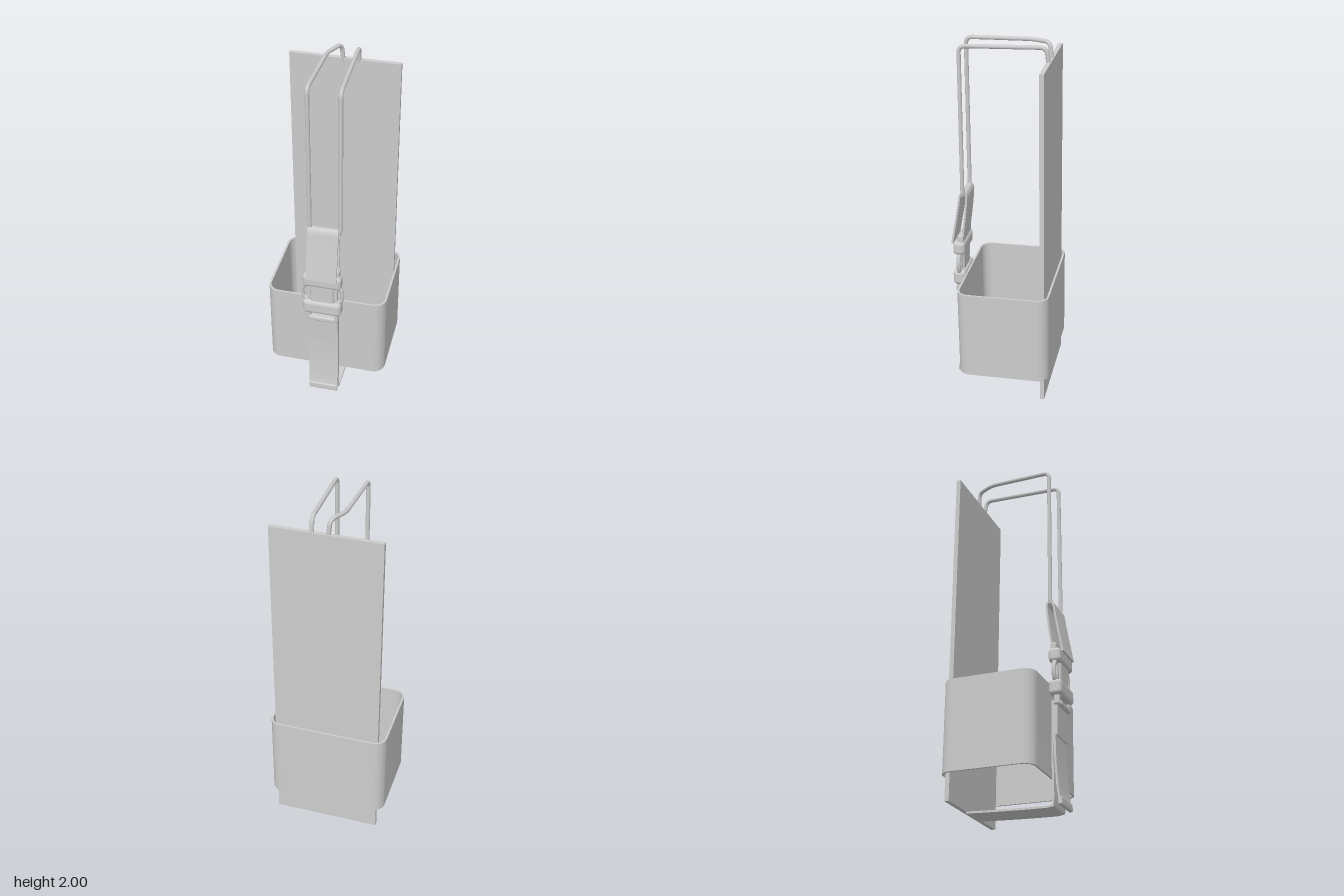
import * as THREE from 'three';
import { toCreasedNormals } from 'three/addons/utils/BufferGeometryUtils.js';
import { RoundedBoxGeometry } from 'three/addons/geometries/RoundedBoxGeometry.js';

const grey = new THREE.MeshStandardMaterial({ color: 0xcccccc });
grey.name = 'grey';

// Local frame: x runs across from buckle (-) to back board (+), z along the board
const MID = -0.008; // strap centre line in z
const v = (x, y, z) => new THREE.Vector3(x, y, z);

function add(parent, name, geometry, x = 0, y = 0, z = 0) {
  const mesh = new THREE.Mesh(geometry, grey);
  mesh.name = name;
  mesh.position.set(x, y, z);
  parent.add(mesh);
  return mesh;
}

function roundedRect(w, h, r, Type = THREE.Shape) {
  const s = new Type();
  s.absarc(w - r, h - r, r, 0, Math.PI / 2);
  s.absarc(r - w, h - r, r, Math.PI / 2, Math.PI);
  s.absarc(r - w, r - h, r, Math.PI, Math.PI * 1.5);
  s.absarc(w - r, r - h, r, Math.PI * 1.5, Math.PI * 2);
  s.closePath();
  return s;
}

// Webbing: a side profile thickened by offset, then extruded across its width
function strap(points, width = 0.168, thick = 0.011) {
  const curve = new THREE.SplineCurve(points.map(p => new THREE.Vector2(...p)));
  const a = [], b = [], n = 40;
  for (let i = 0; i <= n; i++) {
    const p = curve.getPoint(i / n), t = curve.getTangent(i / n);
    a.push(new THREE.Vector2(p.x - t.y * thick / 2, p.y + t.x * thick / 2));
    b.unshift(new THREE.Vector2(p.x + t.y * thick / 2, p.y - t.x * thick / 2));
  }
  const g = new THREE.ExtrudeGeometry(new THREE.Shape([...a, ...b]), { depth: width, bevelEnabled: false });
  g.translate(0, 0, MID - width / 2);
  return toCreasedNormals(g, 0.6);
}

// Wire path: straight runs joined by rounded corners
function wirePath(points, r) {
  const path = new THREE.CurvePath();
  let from = points[0];
  for (let i = 1; i < points.length - 1; i++) {
    const c = points[i];
    const enter = c.clone().add(points[i - 1].clone().sub(c).setLength(r));
    const leave = c.clone().add(points[i + 1].clone().sub(c).setLength(r));
    path.add(new THREE.LineCurve3(from, enter));
    path.add(new THREE.QuadraticBezierCurve3(enter, c, leave));
    from = leave;
  }
  path.add(new THREE.LineCurve3(from, points[points.length - 1]));
  return path;
}

export function createModel() {
  const root = new THREE.Group();
  root.name = 'strapHolder';
  const body = new THREE.Group();
  body.name = 'holderBody';
  body.rotation.y = 0.479;
  root.add(body);

  // Back board, leaning slightly inward at the top
  const board = add(body, 'backBoard', new THREE.BoxGeometry(0.024, 1.88, 0.593), 0.211, 0.97, -0.004);
  board.rotation.z = 0.0128;

  // Open rounded sleeve around the lower half
  const ring = roundedRect(0.253, 0.335, 0.066);
  ring.holes.push(roundedRect(0.242, 0.324, 0.056, THREE.Path));
  const ringGeo = new THREE.ExtrudeGeometry(ring, { depth: 0.5, bevelEnabled: false, curveSegments: 6 });
  ringGeo.translate(0, 0, -0.25);
  ringGeo.rotateX(-Math.PI / 2);
  const sleeve = add(body, 'sleeve', toCreasedNormals(ringGeo, 0.6), 0, 0.415, -0.006);
  sleeve.rotation.z = 0.0128;

  // Wire bail: one rod from the board, down through the webbing and back
  const path = wirePath([
    v(0.198, 1.88, -0.012), v(0.19, 1.988, -0.022), v(0.09, 1.986, -0.072),
    v(-0.27, 1.976, -0.084), v(-0.264, 1.125, -0.084), v(-0.264, 1.125, 0.084),
    v(-0.268, 1.972, 0.084), v(0.185, 1.984, 0.072), v(0.2, 1.88, 0.07),
  ], 0.035);
  add(body, 'wireBail', new THREE.TubeGeometry(path, 260, 0.0115, 10));

  // Webbing: under the base and up the side, hanging tail, and loop over the wire
  add(body, 'baseStrap', strap([[0.212, 0.024], [0, 0.014], [-0.2, 0.008], [-0.25, 0.012],
    [-0.264, 0.04], [-0.265, 0.3], [-0.27, 0.57]]));
  add(body, 'hangingTail', strap([[-0.282, 0.57], [-0.278, 0.38], [-0.28, 0.24], [-0.289, 0.1], [-0.302, 0.02]]));
  add(body, 'foldedEnd', strap([[-0.293, 0.57], [-0.287, 0.38]]));
  add(body, 'tailHem', new RoundedBoxGeometry(0.024, 0.042, 0.168, 2, 0.009), -0.299, 0.034, MID);
  add(body, 'upperStrap', strap([[-0.275, 0.85], [-0.256, 1.0], [-0.246, 1.11], [-0.252, 1.139],
    [-0.266, 1.145], [-0.282, 1.13], [-0.295, 1.05], [-0.331, 0.842]]));

  // Side release buckle
  const buckle = new THREE.Group();
  buckle.name = 'buckle';
  buckle.position.set(-0.29, 0, MID - 0.002);
  body.add(buckle);
  const block = (name, d, h, w, x, y, z = 0) =>
    add(buckle, name, new RoundedBoxGeometry(d, h, w, 3, Math.min(d, h) * 0.32), x, y, z);
  block('upperHousing', 0.068, 0.08, 0.216, 0, 0.82);
  block('strapBar', 0.034, 0.05, 0.19, 0.008, 0.872);
  block('centreTongue', 0.046, 0.2, 0.135, 0, 0.72);
  block('lowerHousing', 0.072, 0.088, 0.216, 0, 0.638);
  block('ladderBar', 0.04, 0.03, 0.15, -0.008, 0.556);
  for (const side of [-1, 1]) {
    // Oval release window with its squeeze pad
    const rim = add(buckle, 'releaseRim', new THREE.TorusGeometry(0.029, 0.0095, 8, 24), 0, 0.728, side * 0.088);
    rim.rotation.y = Math.PI / 2;
    rim.scale.set(0.85, 1.75, 1.3);
    block('releasePad', 0.024, 0.085, 0.03, 0, 0.728, side * 0.07);
    block('ladderArm', 0.034, 0.07, 0.026, -0.004, 0.578, side * 0.078);
  }
  return root;
}
